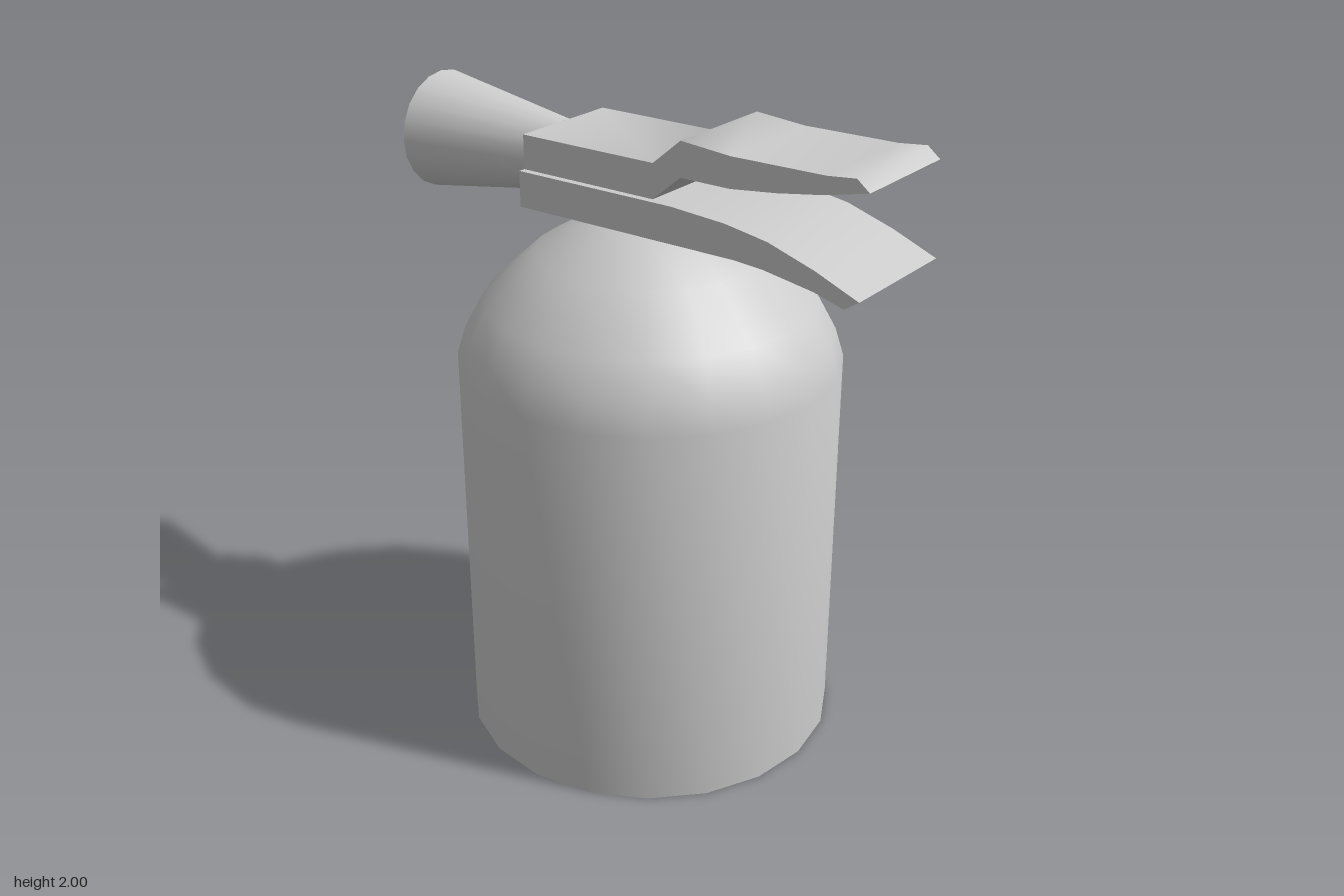
import * as THREE from 'three';
import { toCreasedNormals } from 'three/addons/utils/BufferGeometryUtils.js';

const material = new THREE.MeshStandardMaterial({ color: 0xcccccc });
const points = (list) => list.map(([a, b]) => new THREE.Vector2(a, b));

function addPart(group, name, geometry) {
  const mesh = new THREE.Mesh(toCreasedNormals(geometry, 0.8), material);
  mesh.name = name;
  group.add(mesh);
  return mesh;
}

// Side profile in (z, y), extruded across x and centred
function leverGeometry(profile, width) {
  const geometry = new THREE.ExtrudeGeometry(new THREE.Shape(points(profile)), {
    depth: width, bevelEnabled: false,
  });
  return geometry.translate(0, 0, -width / 2).rotateY(-Math.PI / 2);
}

export function createModel() {
  const model = new THREE.Group();
  model.name = 'fireExtinguisher';

  // Tank with flat base and domed shoulder
  const tank = addPart(model, 'tank', new THREE.LatheGeometry(points([
    [0, 0], [0.595, 0], [0.595, 1.24], [0.567, 1.33], [0.51, 1.435],
    [0.35, 1.585], [0.2, 1.672], [0.12, 1.702], [0, 1.705],
  ]), 20));
  tank.position.z = -0.01;

  // Fixed lower handle, drooping toward the front
  addPart(model, 'lowerHandle', leverGeometry([
    [-0.335, 1.705], [0.43, 1.705], [0.53, 1.698], [0.69, 1.672], [0.785, 1.645],
    [0.83, 1.675], [0.69, 1.732], [0.54, 1.78], [0.4, 1.803], [0.22, 1.815], [-0.335, 1.815],
  ], 0.42));

  // Squeeze lever with a raised step
  addPart(model, 'upperLever', leverGeometry([
    [-0.335, 1.815], [0.14, 1.815], [0.235, 1.895], [0.4, 1.895], [0.55, 1.912],
    [0.69, 1.934], [0.83, 1.965], [0.79, 1.997], [0.7, 1.988], [0.4, 1.986], [0.235, 2],
    [0.14, 1.92], [-0.335, 1.92],
  ], 0.375));

  // Hollow flared discharge horn, opening to the back
  const horn = addPart(model, 'horn', new THREE.LatheGeometry(points([
    [0, 0], [0.107, 0], [0.185, 0.5], [0.153, 0.5], [0.085, 0.05], [0, 0.05],
  ]), 20).rotateX(-Math.PI / 2));
  horn.position.set(0, 1.815, -0.335);

  return model;
}
